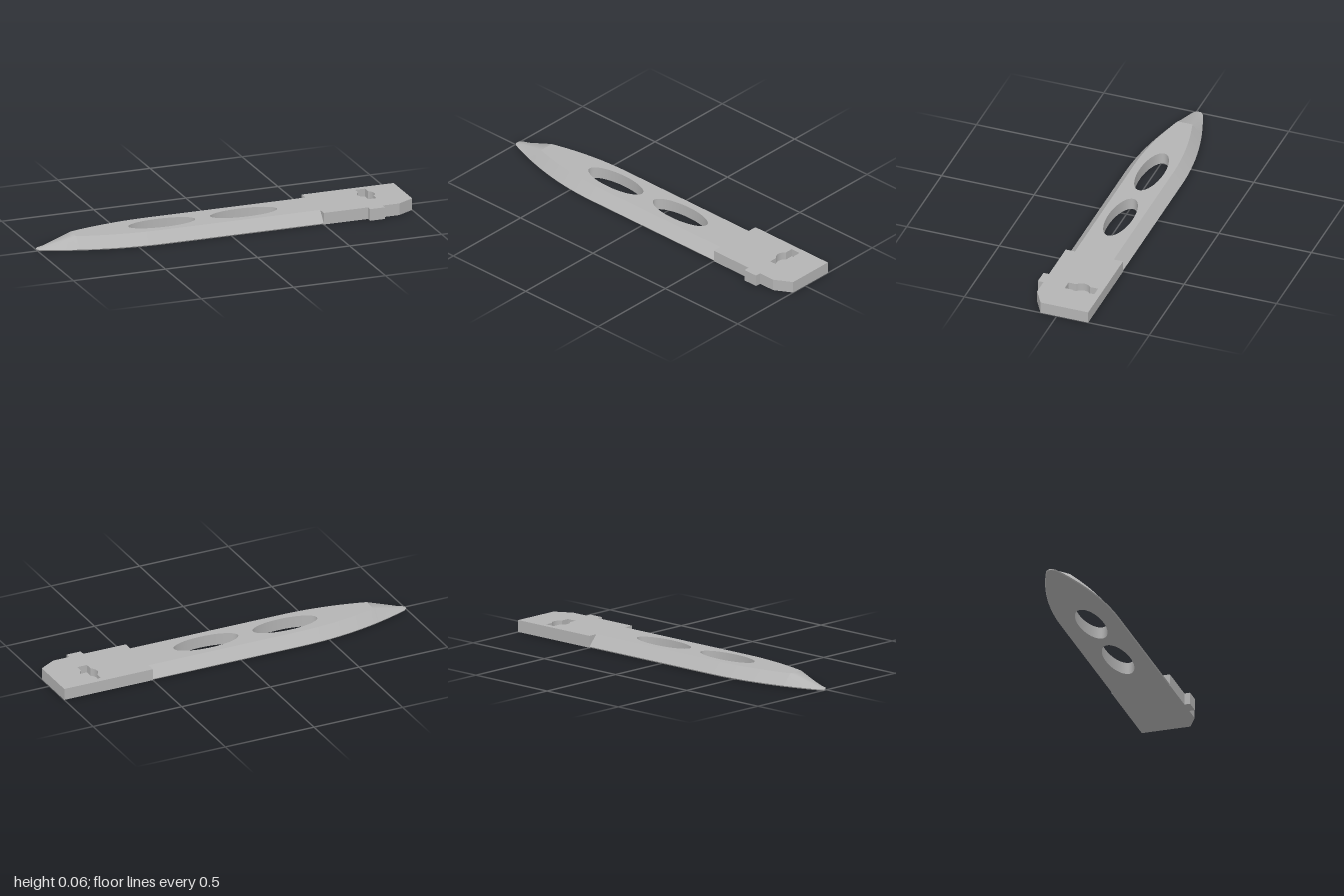
import * as THREE from 'three';

const H = 0.062, RIM = 0.006, Z0 = -0.015; // thickness, edge height, blade centre line
const NOSE = -0.8, END = 0.5;

// Half-width of the blade at its cutting edge, and of its flat top
const edge = x => {
  const d = Math.min(0, x + 0.35);
  return (0.155 - 0.32 * d * d) * Math.min(1, Math.sqrt((x + 1.004) / 0.02));
};
const ridge = x => x >= NOSE ? edge(x) - 0.05 : THREE.MathUtils.mapLinear(x, -1, NOSE, 0.004, 0.04);
const height = x => x >= NOSE ? H : THREE.MathUtils.mapLinear(x, -1, NOSE, RIM, H);

// Smooth surface through several polylines with equal point counts
function loft(lines) {
  const n = lines[0].length, index = [];
  for (let j = 0; j < lines.length - 1; j++) {
    for (let i = 0; i < n - 1; i++) {
      const a = j * n + i, b = a + n;
      index.push(a, a + 1, b + 1, a, b + 1, b);
    }
  }
  const g = new THREE.BufferGeometry();
  g.setAttribute('position', new THREE.Float32BufferAttribute(lines.flat(2), 3));
  g.setIndex(index);
  g.computeVertexNormals();
  return g;
}

export function createModel() {
  const grey = new THREE.MeshStandardMaterial({ color: 0xb4b4b4, side: THREE.DoubleSide });
  grey.name = 'plain grey';
  const model = new THREE.Group();
  model.name = 'bladeTool';
  const blade = new THREE.Group();
  blade.name = 'blade';
  blade.position.z = Z0;
  model.add(blade);
  const add = (parent, name, geometry) => {
    const mesh = new THREE.Mesh(geometry, grey);
    mesh.name = name;
    parent.add(mesh);
    return mesh;
  };

  // Stations along the blade
  const noseX = [-1, -0.997, -0.992, -0.984];
  for (let i = 1; i <= 8; i++) noseX.push(-0.984 + 0.184 * i / 8);
  const bodyX = [];
  for (let i = 0; i <= 16; i++) bodyX.push(NOSE + 0.45 * i / 16);
  bodyX.push(END);
  const allX = [...noseX, ...bodyX.slice(1)];

  // Two oval windows
  const ovals = [-0.32, 0.125].map(cx => ({ cx, rx: 0.18, rz: 0.065 }));
  const face = (xs, width) => {
    const pts = [
      ...xs.map(x => new THREE.Vector2(x, -width(x))),
      ...[...xs].reverse().map(x => new THREE.Vector2(x, width(x))),
    ];
    const shape = new THREE.Shape(pts);
    for (const o of ovals) {
      shape.holes.push(new THREE.Path().absellipse(o.cx, 0, o.rx, o.rz, 0, Math.PI * 2, true));
    }
    return new THREE.ShapeGeometry(shape, 32);
  };
  const inset = x => Math.max(0.003, edge(x) - 0.004);
  add(blade, 'bladeTop', face(bodyX, ridge).rotateX(-Math.PI / 2).translate(0, H, 0));
  add(blade, 'bladeUnderside', face(allX, inset).rotateX(Math.PI / 2));
  for (const o of ovals) {
    const ring = y => Array.from({ length: 65 }, (_, i) => {
      const t = i / 64 * Math.PI * 2;
      return [o.cx + o.rx * Math.cos(t), y, o.rz * Math.sin(t)];
    });
    add(blade, 'windowWall', loft([ring(0), ring(H)]));
  }

  // Bevelled sides
  const low = s => bodyX.map(x => [x, RIM, s * edge(x)]);
  const high = s => bodyX.map(x => [x, H, s * ridge(x)]);
  add(blade, 'frontBevel', loft([low(1), high(1)]));
  add(blade, 'backBevel', loft([high(-1), low(-1)]));

  // Sloping nose, blended smoothly across
  add(blade, 'nose', loft([
    noseX.map(x => [x, RIM, edge(x)]),
    noseX.map(x => [x, height(x), ridge(x)]),
    noseX.map(x => [x, height(x), -ridge(x)]),
    noseX.map(x => [x, RIM, -edge(x)]),
  ]));

  // Thin rim below the bevels, round the tip
  const around = (y, width) => [
    ...[...allX].reverse().map(x => [x, y, -width(x)]),
    ...allX.map(x => [x, y, width(x)]),
  ];
  add(blade, 'rim', loft([around(0, inset), around(RIM, edge)]));

  // Handle block with a cut corner and a side tab
  const outline = [[0.5, 0.14], [0.74, 0.14], [0.74, 0.17], [0.82, 0.17], [0.82, 0.14],
    [0.91, 0.14], [1, 0.088], [1, -0.17], [0.5, -0.17]];
  const handleShape = () => new THREE.Shape(outline.map(([x, z]) => new THREE.Vector2(x, -z)));
  const block = (shape, y, depth) => new THREE.ExtrudeGeometry(shape, { depth, bevelEnabled: false, curveSegments: 12 })
    .rotateX(-Math.PI / 2).translate(0, y, 0);

  // Blind keyhole slot
  const cx = 0.806, cy = 0.06, b = 0.027, r = 0.046, t = Math.acos(b / r);
  const slot = new THREE.Path();
  slot.moveTo(cx - b, cy - 0.08);
  slot.lineTo(cx + b, cy - 0.08);
  slot.absarc(cx, cy, r, -t, t, false);
  slot.lineTo(cx + b, cy + 0.08);
  slot.lineTo(cx - b, cy + 0.08);
  slot.absarc(cx, cy, r, Math.PI - t, Math.PI + t, false);
  slot.closePath();
  const upper = handleShape();
  upper.holes.push(slot);
  const floor = 0.02;
  add(model, 'handleBase', block(handleShape(), 0, floor));
  add(model, 'handleTop', block(upper, floor, H - floor));
  return model;
}
